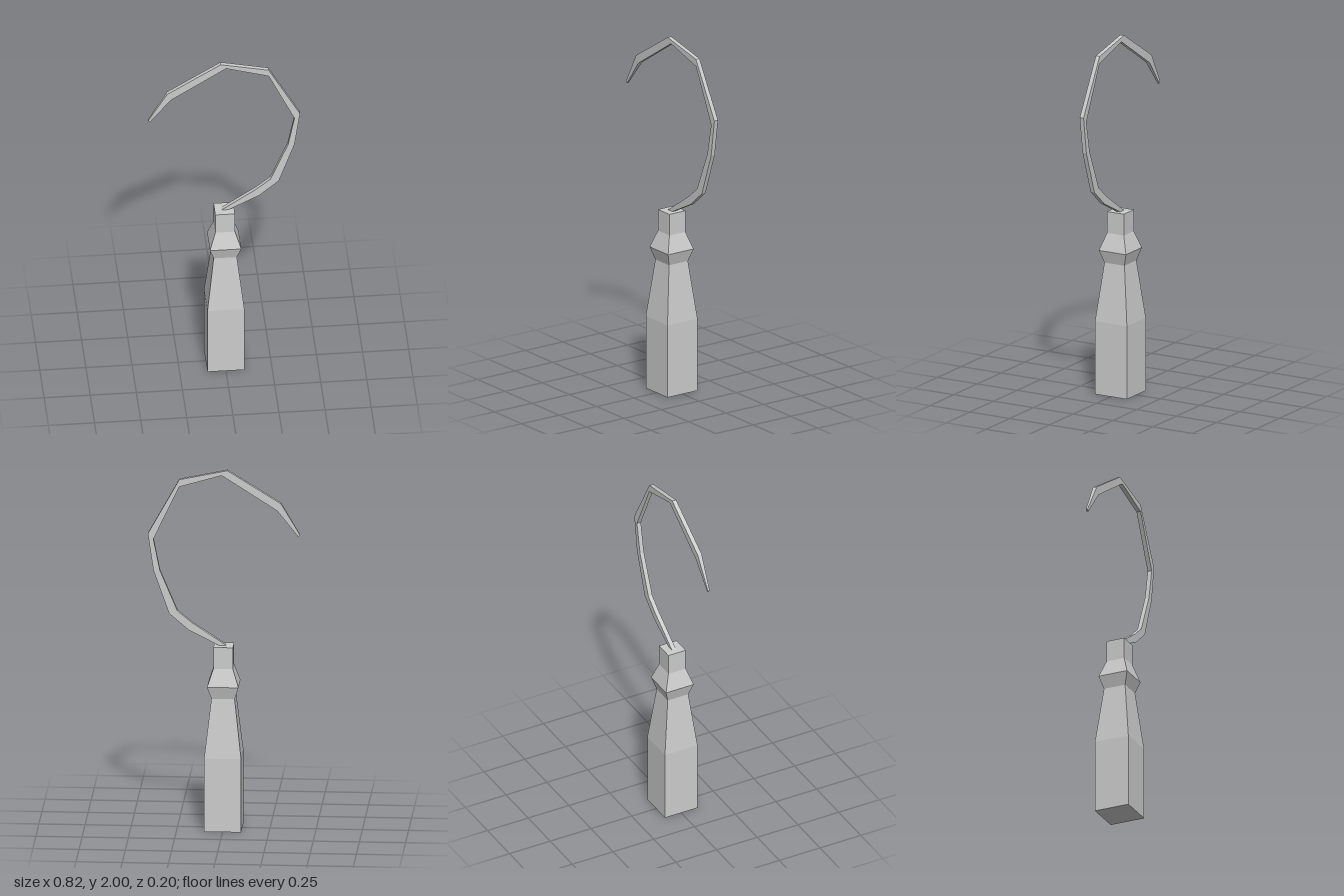
import * as THREE from 'three';

const material = new THREE.MeshStandardMaterial({ color: 0xcccccc, flatShading: true });

// Joins four-cornered rings (counter-clockwise about the path) into a closed solid
function loft(name, rings) {
  const pos = [];
  const tri = (a, b, c) => pos.push(...a, ...b, ...c);
  for (let r = 0; r < rings.length - 1; r++) {
    const p = rings[r], q = rings[r + 1];
    for (let i = 0; i < 4; i++) {
      const j = (i + 1) % 4;
      tri(p[i], p[j], q[i]);
      tri(p[j], q[j], q[i]);
    }
  }
  const s = rings[0], e = rings[rings.length - 1];
  tri(s[0], s[2], s[1]);
  tri(s[0], s[3], s[2]);
  tri(e[0], e[1], e[2]);
  tri(e[0], e[2], e[3]);
  const geometry = new THREE.BufferGeometry();
  geometry.setAttribute('position', new THREE.Float32BufferAttribute(pos, 3));
  geometry.computeVertexNormals();
  const mesh = new THREE.Mesh(geometry, material);
  mesh.name = name;
  return mesh;
}

export function createModel() {
  const group = new THREE.Group();
  group.name = 'handHook';

  // Square turned handle: [height, half width]
  const handle = [[0, 0.1], [0.41, 0.1], [0.735, 0.063], [0.805, 0.085], [0.9, 0.053], [1.02, 0.053]];
  group.add(loft('handle', handle.map(([y, h]) =>
    [[h, y, h], [h, y, -h], [-h, y, -h], [-h, y, h]])));

  // Curved hook: [outer x, outer y, inner x, inner y, half thickness]
  const hook = [
    [0.02, 1.018, -0.02, 1.018, 0.012],
    [0.19, 1.105, 0.17, 1.145, 0.012],
    [0.295, 1.195, 0.25, 1.21, 0.012],
    [0.38, 1.435, 0.345, 1.435, 0.012],
    [0.41, 1.64, 0.38, 1.61, 0.012],
    [0.24, 1.945, 0.24, 1.905, 0.012],
    [-0.02, 2.0, 0.01, 1.972, 0.012],
    [-0.31, 1.82, -0.29, 1.78, 0.012],
    [-0.413, 1.645, -0.403, 1.635, 0.005],
  ];
  group.add(loft('hook', hook.map(([ox, oy, ix, iy, t]) =>
    [[ox, oy, t], [ox, oy, -t], [ix, iy, -t], [ix, iy, t]])));

  return group;
}
